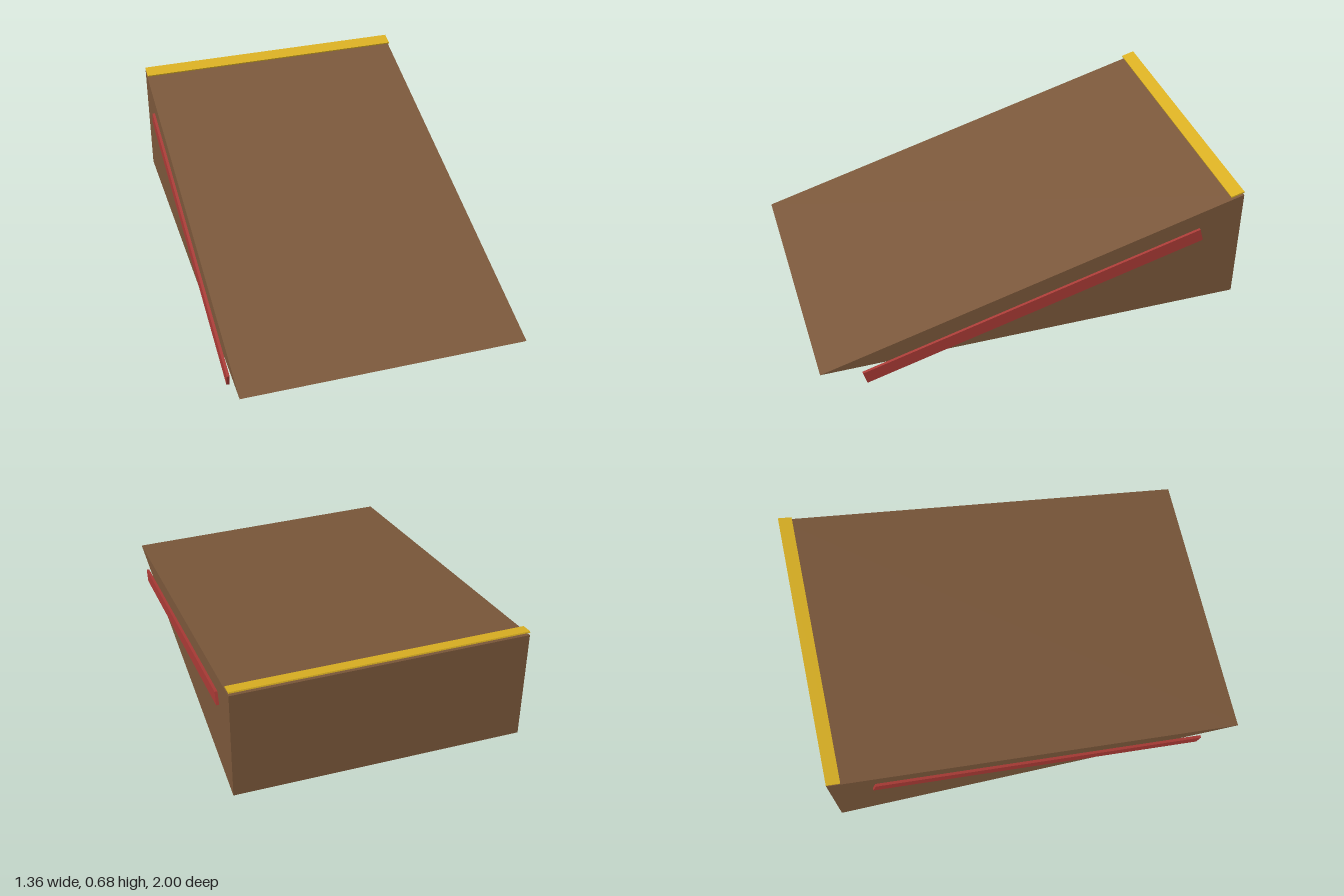
import * as THREE from 'three';

const material = (name, color) => {
  const m = new THREE.MeshStandardMaterial({ color });
  m.name = name;
  return m;
};

export function createModel() {
  const brown = material('brown wood', 0x7a573a);
  const red = material('red rail', 0xa93a35);
  const yellow = material('yellow edge', 0xdab022);

  const group = new THREE.Group();
  group.name = 'ramp';

  const halfWidth = 0.667;
  const slope = 0.2745;

  const add = (name, geometry, mat, x, y, z, tilt = 0) => {
    const mesh = new THREE.Mesh(geometry, mat);
    mesh.name = name;
    mesh.position.set(x, y, z);
    mesh.rotation.x = tilt;
    group.add(mesh);
    return mesh;
  };

  // Wedge body: side profile (shape x runs towards the back) extruded across the width
  const profile = new THREE.Shape([
    new THREE.Vector2(-1, 0.097),
    new THREE.Vector2(1, 0.097),
    new THREE.Vector2(1, 0.66),
  ]);
  const wedge = new THREE.ExtrudeGeometry(profile, { depth: halfWidth * 2, bevelEnabled: false });
  wedge.translate(0, 0, -halfWidth);
  wedge.rotateY(Math.PI / 2);
  add('wedge', wedge, brown, 0, 0, 0);

  // Sloping rails on both sides
  const railWidth = 0.013;
  for (const side of [1, -1]) {
    add(side > 0 ? 'leftRail' : 'rightRail', new THREE.BoxGeometry(railWidth, 0.064, 1.665), red,
      side * (halfWidth + railWidth / 2), 0.26, 0, slope);
  }

  // Thin strip just above the upper edge
  add('edgeStrip', new THREE.BoxGeometry(halfWidth * 2, 0.0067, 0.0645), yellow, 0, 0.6675, -0.968, slope);

  return group;
}
